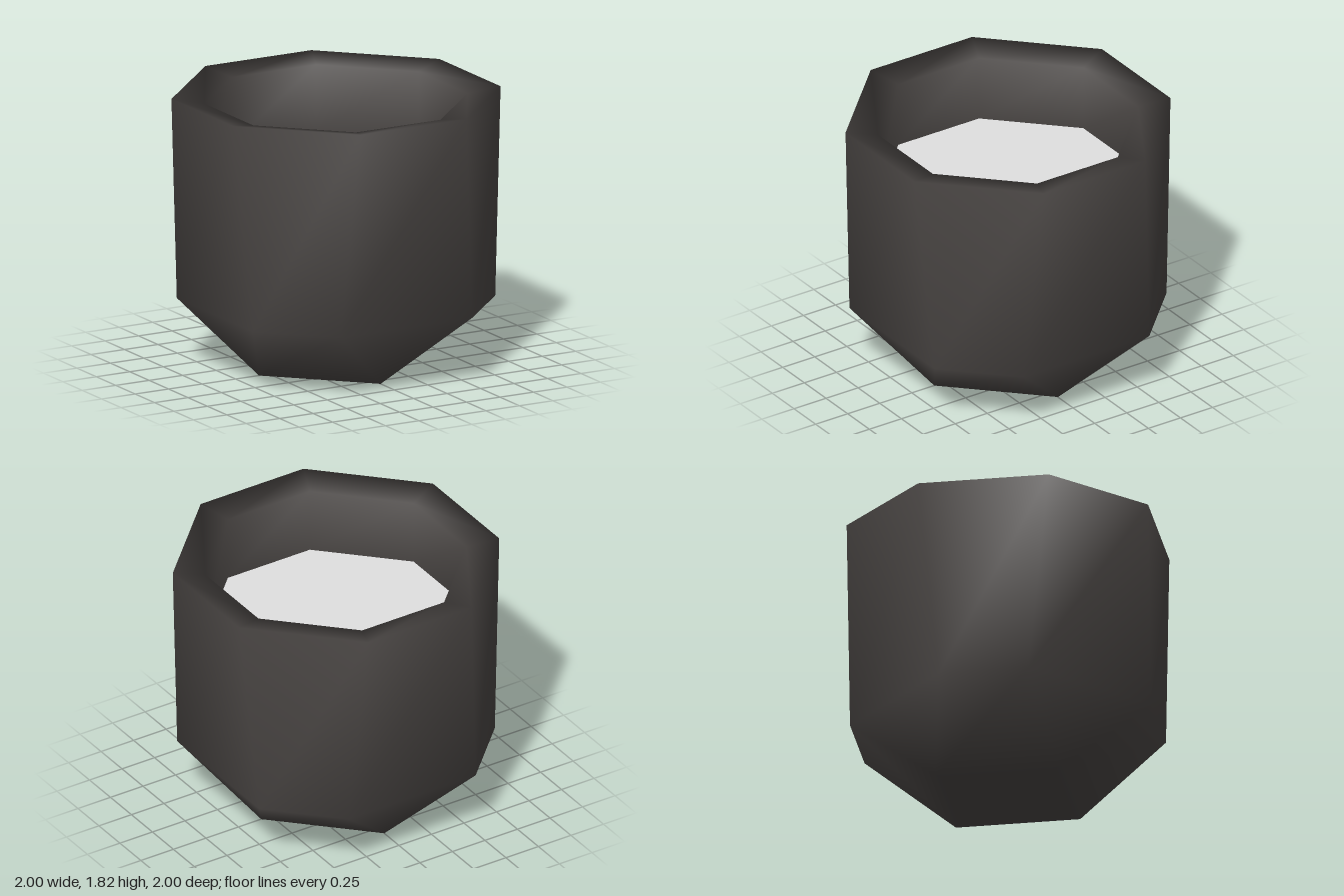
import * as THREE from 'three';
import { mergeVertices } from 'three/addons/utils/BufferGeometryUtils.js';

// Eight corners, counterclockwise from above: w = distance to a flat side, a = half its length
function octagon(w, a, y) {
  return [[w, -a], [a, -w], [-a, -w], [-w, -a], [-w, a], [-a, w], [a, w], [w, a]]
    .map(([x, z]) => [x, y, z]).reverse().map(([x, y2, z]) => [x, y2, -z]).reverse().map(([x, y2, z]) => [x, y2, -z]);
}

// Smooth skin through successive rings; collapsed corners give triangles
function skin(rings) {
  const points = [];
  const triangle = (a, b, c) => {
    const [A, B, C] = [a, b, c].map((p) => new THREE.Vector3(...p));
    if (B.sub(A).cross(C.sub(A)).length() > 1e-6) points.push(...a, ...b, ...c);
  };
  for (let r = 0; r < rings.length - 1; r++) {
    const lo = rings[r], up = rings[r + 1];
    for (let i = 0; i < 8; i++) {
      const j = (i + 1) % 8;
      triangle(lo[i], lo[j], up[j]);
      triangle(lo[i], up[j], up[i]);
    }
  }
  const geometry = new THREE.BufferGeometry();
  geometry.setAttribute('position', new THREE.Float32BufferAttribute(points, 3));
  const merged = mergeVertices(geometry);
  merged.computeVertexNormals();
  return merged;
}

export function createModel() {
  const model = new THREE.Group();
  model.name = 'cup';
  const darkClay = new THREE.MeshStandardMaterial({ color: 0x4a4644 });
  darkClay.name = 'dark clay';
  const paleFill = new THREE.MeshStandardMaterial({ color: 0xe0e0e0 });
  paleFill.name = 'pale fill';

  // Cup: diamond foot, octagonal wall, sloped rim and inner wall
  const cup = new THREE.Mesh(skin([
    octagon(0, 0, 0),
    octagon(0.575, 0, 0),
    octagon(0.905, 0.49, 0.45),
    octagon(1, 0.395, 1.815),
    octagon(0.8, 0.315, 1.775),
    octagon(0.8, 0.315, 1.33),
  ]), darkClay);
  cup.name = 'cupBody';

  // Flat surface of the contents
  const fill = new THREE.Mesh(skin([octagon(0.8, 0.315, 1.33), octagon(0, 0, 1.33)]), paleFill);
  fill.name = 'contents';

  model.add(cup, fill);
  return model;
}
